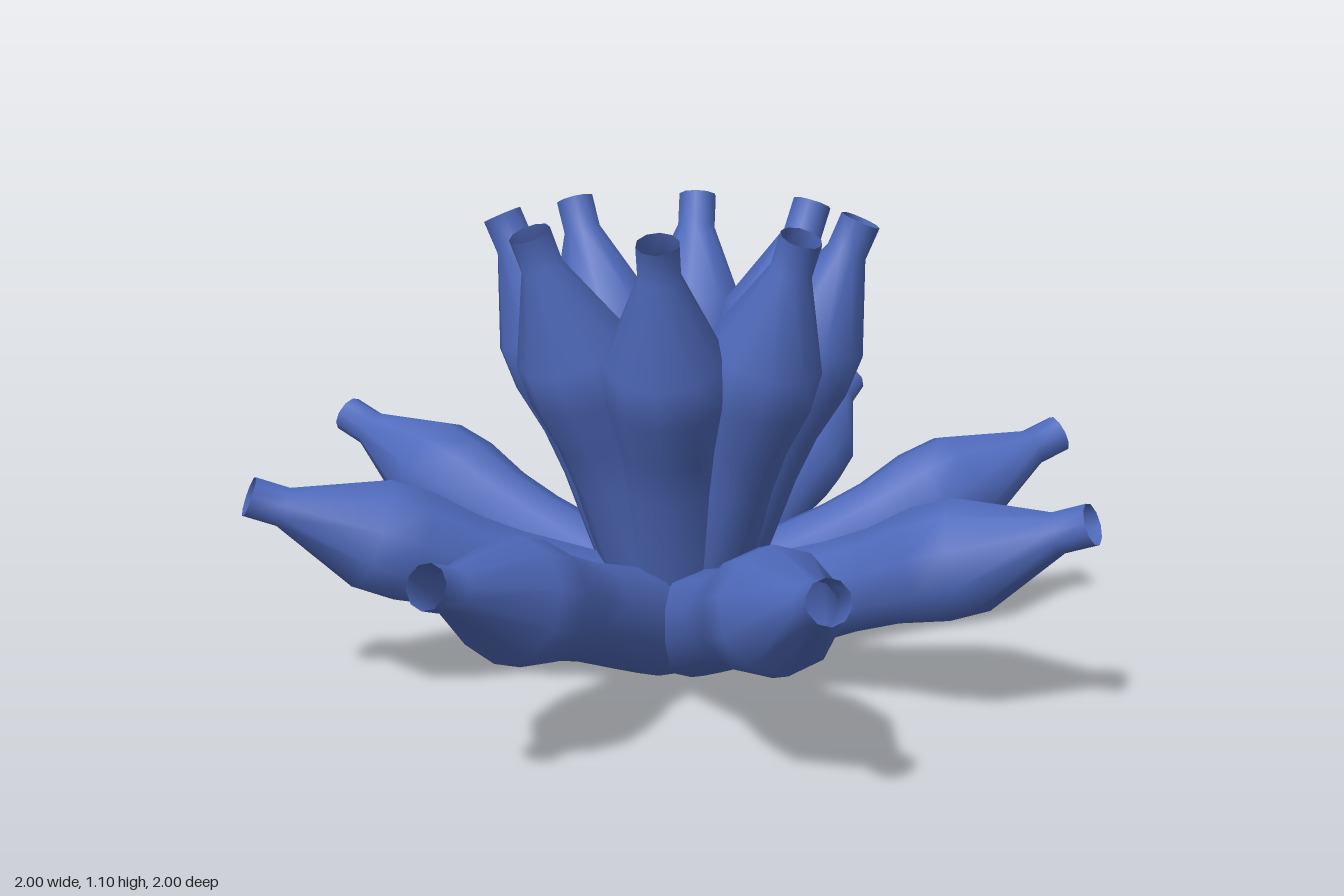
import * as THREE from 'three';

export function createModel() {
  const group = new THREE.Group();
  group.name = 'podCluster';
  const material = new THREE.MeshStandardMaterial({ color: 0x4f6abc, side: THREE.DoubleSide });

  // Open pod: broad base, slight waist, swollen shoulder, narrow neck
  const profile = [
    [0.112, 0], [0.123, 0.06], [0.121, 0.17], [0.116, 0.3], [0.109, 0.45],
    [0.113, 0.56], [0.133, 0.68], [0.131, 0.78], [0.046, 0.985], [0.046, 1.063],
  ].map(([r, y]) => new THREE.Vector2(r, y));
  const podGeometry = new THREE.LatheGeometry(profile, 10);

  // Ring of eight pods leaning outwards from a shared base point
  function addRing(name, tilt, turn) {
    const ring = new THREE.Group();
    ring.name = name;
    for (let i = 0; i < 8; i++) {
      const pod = new THREE.Mesh(podGeometry, material);
      pod.name = name + 'Pod' + (i + 1);
      pod.position.y = 0.105;
      pod.rotation.order = 'YXZ';
      pod.rotation.y = turn + (i * Math.PI) / 4;
      pod.rotation.x = tilt;
      ring.add(pod);
    }
    group.add(ring);
  }

  addRing('outerRing', (Math.PI * 3) / 8, 0);
  addRing('innerRing', Math.PI / 8, Math.PI / 8);
  return group;
}
